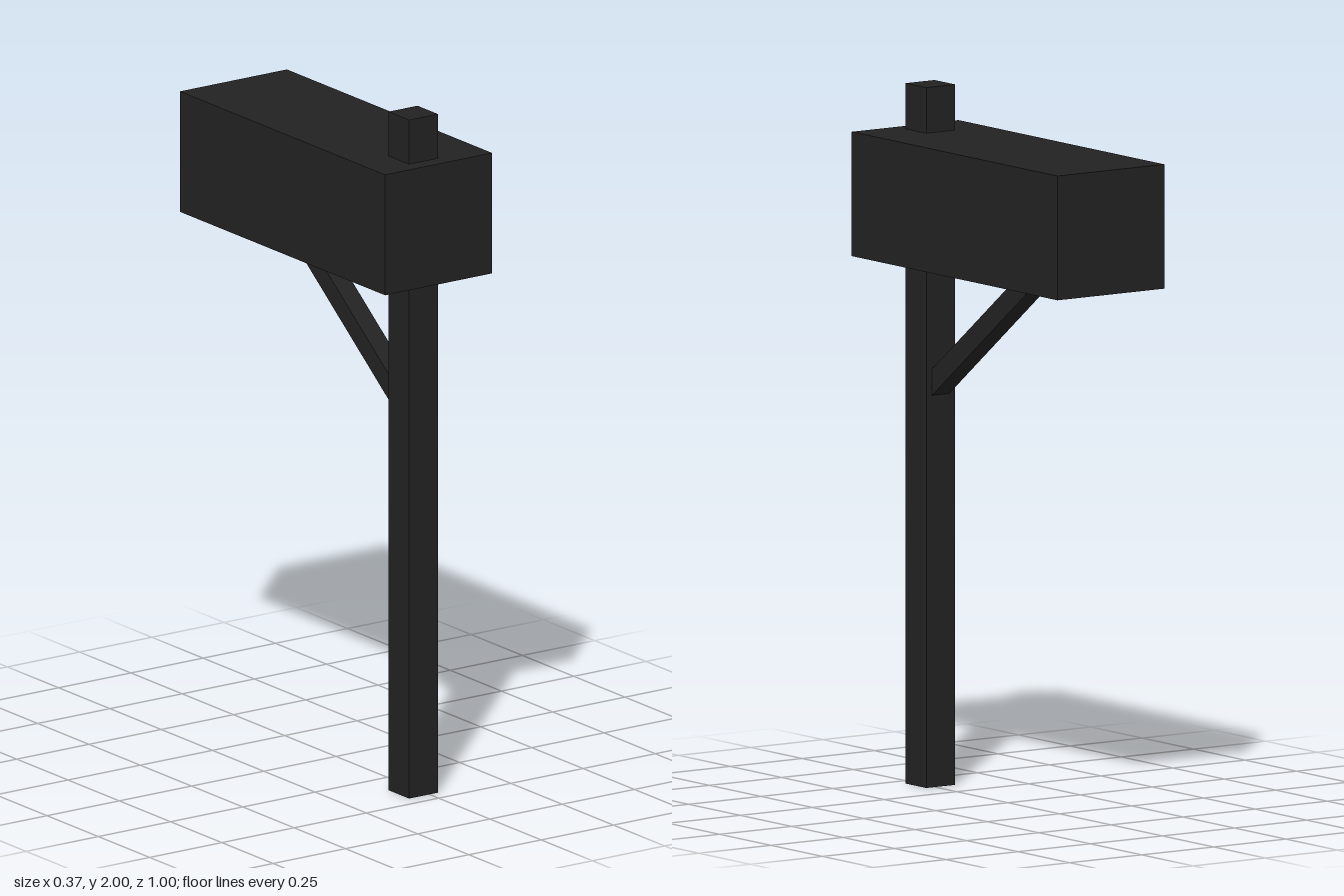
import * as THREE from 'three';

export function createModel() {
  const group = new THREE.Group();
  const charcoal = new THREE.MeshStandardMaterial({ color: 0x222222 });
  charcoal.name = 'charcoal';

  function addBox(name, [w, h, d], [x, y, z]) {
    const mesh = new THREE.Mesh(new THREE.BoxGeometry(w, h, d), charcoal);
    mesh.name = name;
    mesh.position.set(x, y, z);
    group.add(mesh);
    return mesh;
  }

  // Upright post, running through the box near its front end
  const postX = -0.02;
  addBox('post', [0.1, 2, 0.1], [postX, 1, 0.405]);

  // Mailbox body
  addBox('mailbox', [0.37, 0.355, 1], [0, 1.692, 0]);

  // Diagonal brace, with its ends buried in the post and the box
  const low = new THREE.Vector3(postX, 1.123, 0.4);
  const high = new THREE.Vector3(postX, 1.547, -0.16);
  const middle = low.clone().lerp(high, 0.5);
  const brace = addBox('brace', [0.06, 0.06, low.distanceTo(high)], middle.toArray());
  brace.rotation.x = Math.atan2(high.y - low.y, low.z - high.z);

  return group;
}
